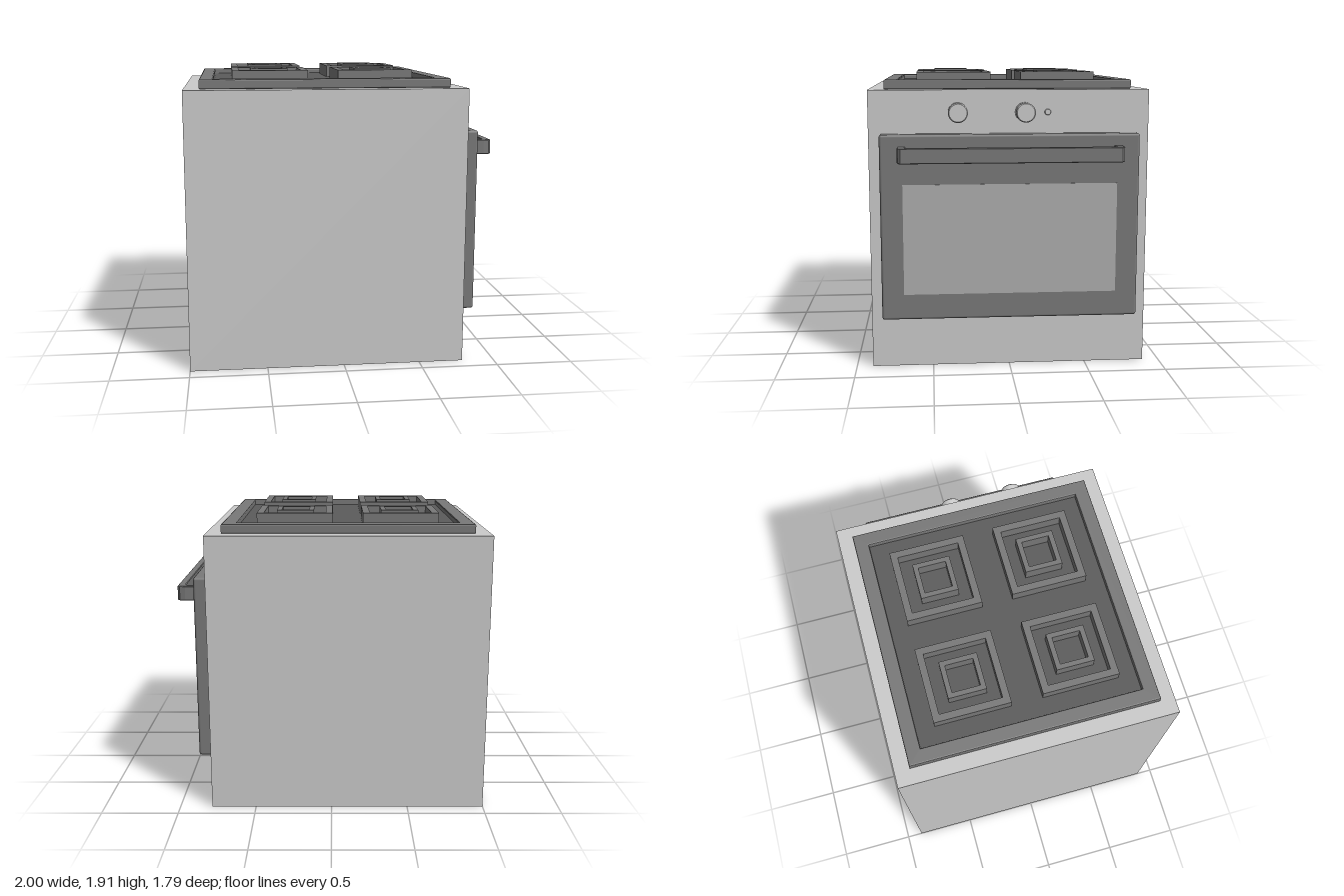
import * as THREE from 'three';
import { RoundedBoxGeometry } from 'three/addons/geometries/RoundedBoxGeometry.js';

const BODY_X = -0.105; // centre of the cabinet; the door and handle stick out to +x
const SIDE = 0.79; // x of the cabinet face that carries the door

const material = (color) => new THREE.MeshStandardMaterial({ color });
const light = material(0xcccccc);
const dark = material(0x797979);
const darkest = material(0x5c5c5c);
const glass = material(0xaeaeae);

function add(parent, name, geometry, mat, x = 0, y = 0, z = 0) {
  const mesh = new THREE.Mesh(geometry, mat);
  mesh.name = name;
  mesh.position.set(x, y, z);
  parent.add(mesh);
  return mesh;
}

function square(Kind, h) {
  return new Kind([[-h, -h], [h, -h], [h, h], [-h, h]].map(([x, y]) => new THREE.Vector2(x, y)));
}

// Square frame lying flat, from y = 0 up to the given height
function frame(outer, inner, height, bevel = 0) {
  const shape = square(THREE.Shape, outer - bevel);
  shape.holes.push(square(THREE.Path, inner + bevel));
  const geometry = new THREE.ExtrudeGeometry(shape, {
    depth: height - 2 * bevel, bevelEnabled: bevel > 0,
    bevelSize: bevel, bevelThickness: bevel, bevelSegments: 2,
  });
  return geometry.translate(0, 0, bevel).rotateX(-Math.PI / 2);
}

// Short cylinder pointing along +x, with a small rounded front edge
function stud(radius, length, edge) {
  const profile = [[0, 0], [radius, 0], [radius, length - edge], [radius, length - edge],
    [radius - edge, length], [radius - edge, length], [0, length]];
  const geometry = new THREE.LatheGeometry(profile.map(([r, y]) => new THREE.Vector2(r, y)), 32);
  return geometry.rotateZ(-Math.PI / 2);
}

// U-shaped handle drawn in plan (x outwards, z along the door)
function handle() {
  const half = [[0.86, 0.711], [0.945, 0.713], [0.98, 0.707], [0.995, 0.69]];
  const inner = [[0.948, 0.645], [0.943, 0.658], [0.93, 0.664], [0.86, 0.66]];
  const mirror = (pts) => pts.map(([x, z]) => [x, -z]).reverse();
  const outline = [...half, ...mirror(half), ...mirror(inner), ...inner];
  const shape = new THREE.Shape(outline.map(([x, z]) => new THREE.Vector2(x, z)));
  const bevel = 0.004;
  const geometry = new THREE.ExtrudeGeometry(shape, {
    depth: 0.095 - 2 * bevel, bevelEnabled: true,
    bevelSize: bevel, bevelThickness: bevel, bevelOffset: -bevel, bevelSegments: 1,
  });
  return geometry.translate(0, 0, bevel).rotateX(-Math.PI / 2);
}

export function createModel() {
  const model = new THREE.Group();
  model.name = 'cooker';

  // Cabinet
  add(model, 'cabinet', new THREE.BoxGeometry(1.79, 1.8, 1.79), light, BODY_X, 0.9, 0);

  // Hob: raised rim around a sunken plate
  const hob = new THREE.Group();
  hob.name = 'hob';
  hob.position.set(BODY_X, 1.8, 0);
  model.add(hob);
  add(hob, 'hobRim', frame(0.797, 0.706, 0.06, 0.008), dark);
  add(hob, 'hobPlate', new THREE.BoxGeometry(1.42, 0.025, 1.42), darkest, 0, 0.0125, 0);

  // Four burners, each with two nested square rings
  for (const x of [-0.343, 0.343]) {
    for (const z of [-0.345, 0.345]) {
      const burner = new THREE.Group();
      burner.name = 'burner';
      burner.position.set(x, 0.02, z);
      hob.add(burner);
      add(burner, 'outerRing', frame(0.245, 0.2, 0.085), dark);
      add(burner, 'innerRing', frame(0.122, 0.09, 0.092), dark);
    }
  }

  // Oven door with window and handle
  const door = new THREE.Group();
  door.name = 'ovenDoor';
  model.add(door);
  add(door, 'doorPanel', new RoundedBoxGeometry(0.095, 1.19, 1.65, 3, 0.016), dark, 0.8275, 0.93, 0);
  add(door, 'window', new THREE.BoxGeometry(0.01, 0.71, 1.366), glass, 0.872, 0.855, 0);
  add(door, 'handle', handle(), dark, 0, 1.355, 0);

  // Control knobs and indicator lamp
  for (const z of [0.33, -0.097]) {
    add(model, 'knob', stud(0.062, 0.083, 0.006), light, SIDE, 1.658, z);
  }
  add(model, 'indicatorLamp', stud(0.02, 0.012, 0.003), light, SIDE, 1.658, -0.243);

  return model;
}
